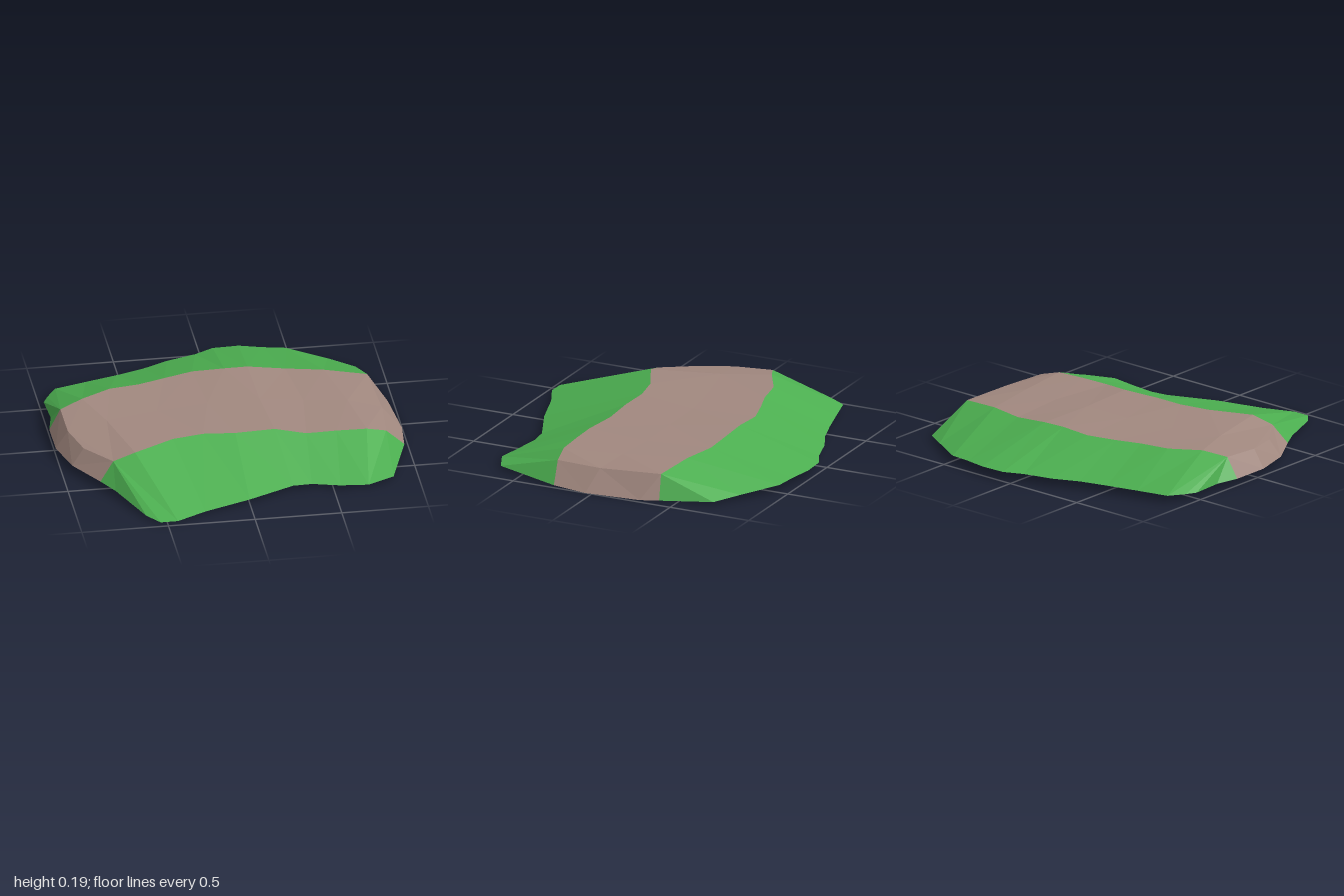
import * as THREE from 'three';

// Bridge two polylines with triangles, walking both along one axis (0 = x, 2 = z).
// Every triangle is wound to face upward.
function bridge(a, b, axis) {
  const out = [];
  const put = (p, q, r) => {
    const up = (q[2] - p[2]) * (r[0] - p[0]) - (q[0] - p[0]) * (r[2] - p[2]);
    out.push(...p, ...(up < 0 ? [...r, ...q] : [...q, ...r]));
  };
  const t = (l, i) => (l[i][axis] - l[0][axis]) / (l[l.length - 1][axis] - l[0][axis]);
  let i = 0, j = 0;
  while (i < a.length - 1 || j < b.length - 1) {
    const stepA = j === b.length - 1 || (i < a.length - 1 && t(a, i + 1) <= t(b, j + 1));
    if (stepA) { put(a[i], b[j], a[i + 1]); i++; }
    else { put(a[i], b[j], b[j + 1]); j++; }
  }
  return out;
}
const fan = (centre, rim) => bridge([centre], rim, 0);

function surface(name, material, ...patches) {
  const g = new THREE.BufferGeometry();
  g.setAttribute('position', new THREE.Float32BufferAttribute(patches.flat(), 3));
  g.computeVertexNormals();
  const mesh = new THREE.Mesh(g, material);
  mesh.name = name;
  return mesh;
}

export function createModel() {
  const opts = { side: THREE.DoubleSide, flatShading: true };
  const grass = new THREE.MeshStandardMaterial({ color: 0x4caf50, ...opts });
  grass.name = 'grass green';
  const dirt = new THREE.MeshStandardMaterial({ color: 0xa1887f, ...opts });
  dirt.name = 'dirt brown';

  // Edges of the raised path
  const back = [[-.935, .16, -.19], [-.8, .185, -.25], [-.625, .182, -.35], [-.45, .18, -.38],
    [-.3, .18, -.43], [-.13, .183, -.48], [.055, .19, -.475], [.19, .188, -.48],
    [.405, .165, -.465], [.62, .163, -.42], [.865, .138, -.375]];
  const middle = [[-.93, .145, .05], [-.7, .178, .02], [-.4, .178, -.05], [-.1, .18, -.1],
    [.2, .18, -.1], [.45, .16, -.08], [.7, .155, -.05], [.89, .122, 0]];
  const front = [[-.73, .14, .44], [-.6, .175, .42], [-.365, .182, .305], [-.185, .182, .27],
    [0, .177, .28], [.23, .176, .265], [.405, .157, .31], [.58, .157, .305],
    [.755, .152, .3], [.87, .12, .28]];
  const shoulder = [-.87, .135, .25];

  // Feet of the slopes, along the ground
  const backFoot = [[-.89, .04, -.66], [-.705, .042, -.71], [-.52, .043, -.76], [-.36, .045, -.81],
    [-.21, .046, -.88], [-.04, .048, -.93], [.07, .05, -.985], [.22, .05, -.99],
    [.35, .045, -.96], [.485, .04, -.94], [.705, .028, -.8], [.85, .015, -.7]];
  const frontFoot = [[-.54, .01, .97], [-.44, .01, .97], [-.27, .015, .89], [0, .022, .8],
    [.27, .025, .68], [.38, .022, .67], [.54, .015, .7], [.7, .017, .72], [.855, .02, .65]];
  const rightFoot = [[-1, .04, -.18], [-1, .04, .05], [-.94, .04, .27], [-.81, .037, .48]];
  const leftFoot = [[.94, .005, -.4], [.97, 0, -.29], [1, 0, .04], [.98, .007, .25]];

  const model = new THREE.Group();
  model.name = 'hill path';
  model.add(
    surface('pathTop', dirt,
      bridge(back, middle, 0),
      bridge(middle, [shoulder, ...front], 0)),
    surface('rightEnd', dirt,
      bridge([back[0], middle[0], shoulder, front[0]], rightFoot, 2)),
    surface('leftEnd', dirt,
      bridge([back.at(-1), middle.at(-1), front.at(-1)], leftFoot, 2)),
    surface('backSlope', grass,
      bridge(back, backFoot, 0),
      fan(back[0], [rightFoot[0], [-.97, .04, -.32], [-.98, .04, -.51], [-.95, .04, -.57], backFoot[0]]),
      fan(back.at(-1), [backFoot.at(-1), leftFoot[0]])),
    surface('frontSlope', grass,
      bridge(front, frontFoot, 0),
      fan(front[0], [rightFoot.at(-1), [-.74, .033, .6], [-.61, .016, .89], frontFoot[0]]),
      fan(front.at(-1), [frontFoot.at(-1), leftFoot.at(-1)])),
  );
  return model;
}
